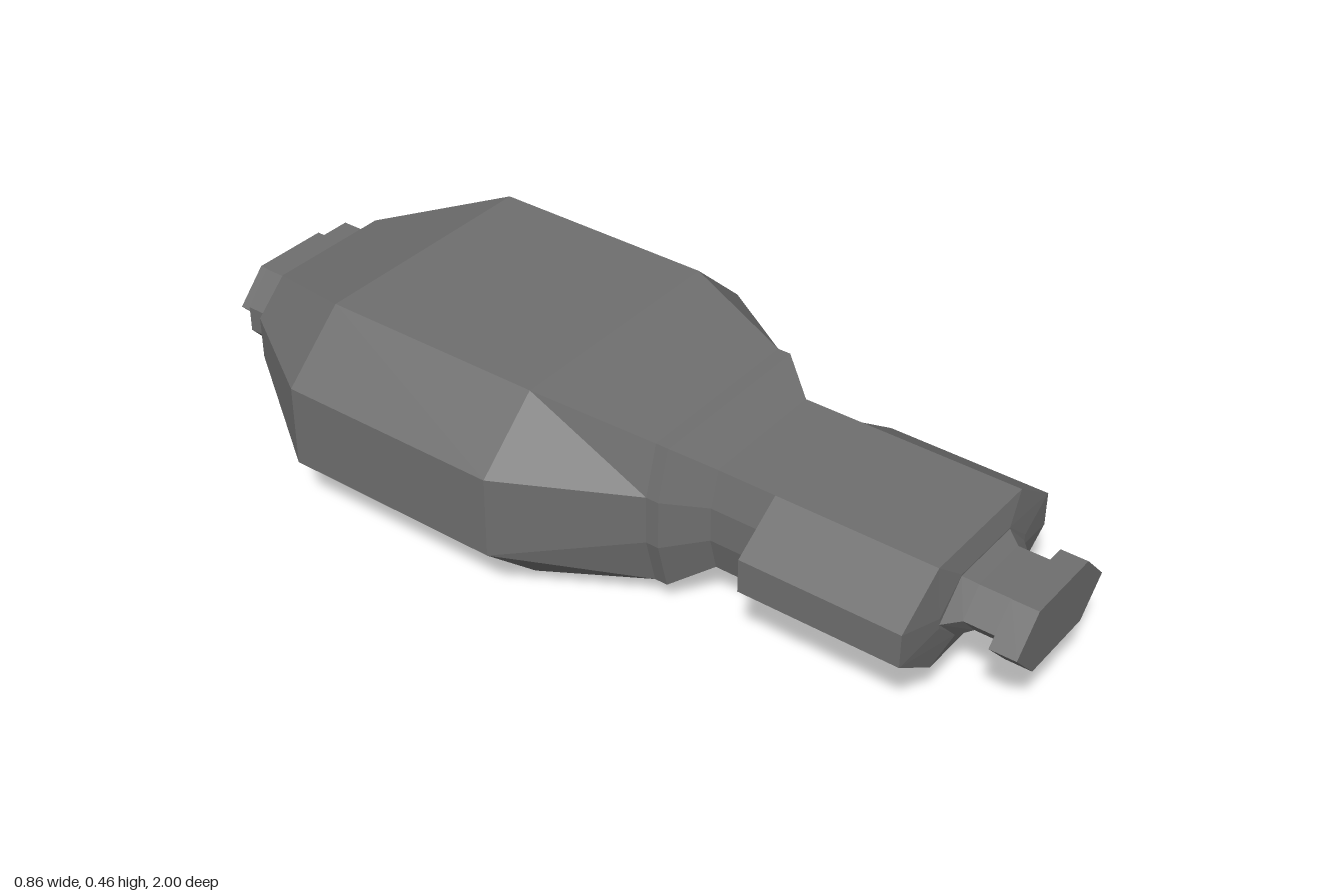
import * as THREE from 'three';

const BODY_Y = 0.2275;
const END_Y = 0.2245; // the small end pieces sit slightly lower

// One bevelled cross-section: z, half width, half width of the flat top,
// half height, half height of the flat side (0 makes a hexagon).
function ring([z, w, t, h, s]) {
  return [[w, -s], [w, s], [t, h], [-t, h], [-w, s], [-w, -s], [-t, -h], [t, -h]]
    .map(([x, y]) => new THREE.Vector3(x, y, z));
}

// Skins sections listed from back to front, with optional end caps.
function loft(sections, capBack, capFront) {
  const rings = sections.map(ring);
  const points = [];
  const tri = (a, b, c) => {
    if (new THREE.Triangle(a, b, c).getArea() > 1e-7) points.push(a, b, c);
  };
  for (let k = 0; k < rings.length - 1; k++) {
    for (let i = 0; i < 8; i++) {
      const j = (i + 1) % 8;
      const p = rings[k], q = rings[k + 1];
      tri(p[i], p[j], q[j]);
      tri(p[i], q[j], q[i]);
    }
  }
  const first = rings[0], last = rings[rings.length - 1];
  for (let i = 1; i < 7; i++) {
    if (capBack) tri(first[0], first[i + 1], first[i]);
    if (capFront) tri(last[0], last[i], last[i + 1]);
  }
  const geometry = new THREE.BufferGeometry().setFromPoints(points);
  geometry.computeVertexNormals();
  return geometry;
}

export function createModel() {
  const group = new THREE.Group();
  group.name = 'facetedCapsule';
  const darkGrey = new THREE.MeshStandardMaterial({ color: 0x6e6e6e, flatShading: true });
  const add = (name, y, sections, capBack, capFront) => {
    const mesh = new THREE.Mesh(loft(sections, capBack, capFront), darkGrey);
    mesh.name = name;
    mesh.position.y = y;
    group.add(mesh);
  };

  // Stepped rear end
  add('rearTip', END_Y, [[-1, 0.164, 0.093, 0.073, 0], [-0.945, 0.164, 0.093, 0.073, 0]], true, false);
  add('rearCollar', BODY_Y, [[-0.945, 0.19, 0.128, 0.1, 0.03], [-0.87, 0.19, 0.128, 0.1, 0.03]], true, false);

  // Wide main body, tapered at both ends
  add('mainBody', BODY_Y, [
    [-0.87, 0.23, 0.15, 0.122, 0.05],
    [-0.575, 0.43, 0.282, 0.2275, 0.094],
    [-0.052, 0.43, 0.282, 0.2275, 0.094],
    [0.205, 0.241, 0.21, 0.17, 0.056],
  ], true, false);

  // Collar narrowing into the neck
  add('frontCollar', BODY_Y, [
    [0.205, 0.241, 0.21, 0.17, 0.056],
    [0.235, 0.241, 0.21, 0.17, 0.056],
    [0.315, 0.175, 0.153, 0.121, 0.04],
  ], false, false);
  add('neck', BODY_Y, [[0.315, 0.175, 0.153, 0.121, 0.04], [0.45, 0.175, 0.153, 0.121, 0.04]], false, false);

  // Block in front of the neck, with a shallow bevelled nose
  add('frontBlock', BODY_Y, [
    [0.45, 0.273, 0.153, 0.121, 0.039],
    [0.817, 0.273, 0.153, 0.121, 0.039],
    [0.832, 0.16, 0.09, 0.073, 0.012],
  ], true, true);

  // Stem and end cap
  add('frontStem', END_Y, [
    [0.832, 0.16, 0.09, 0.073, 0],
    [0.862, 0.124, 0.073, 0.056, 0],
    [0.94, 0.124, 0.073, 0.056, 0],
  ], false, false);
  add('frontCap', END_Y, [[0.94, 0.164, 0.093, 0.073, 0], [1, 0.164, 0.093, 0.073, 0]], true, true);

  return group;
}
